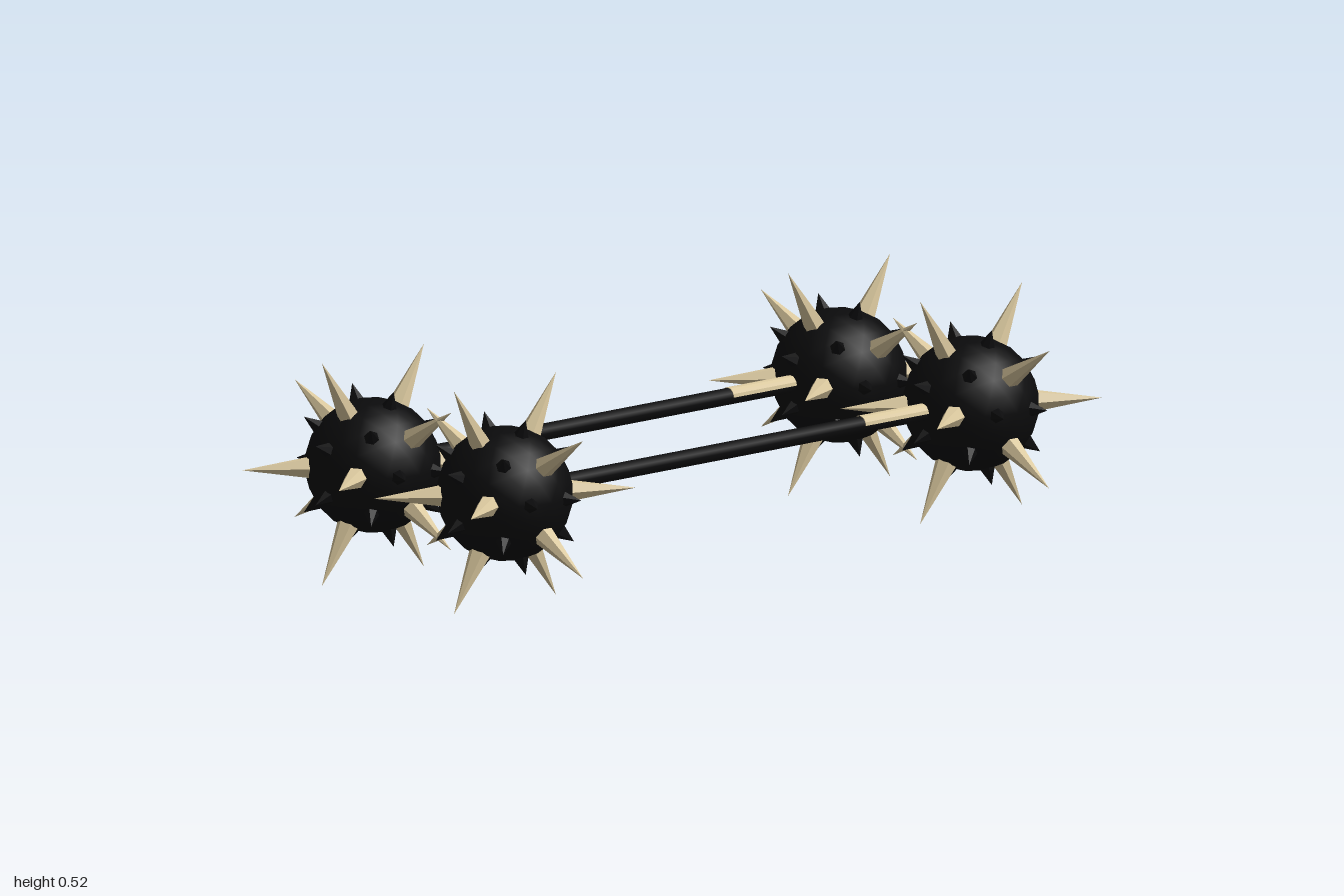
import * as THREE from 'three';

const PHI = (1 + Math.sqrt(5)) / 2;
const SIGNS = [-1, 1];

const mat = (name, color, opts = {}) => {
  const m = new THREE.MeshStandardMaterial({ color, ...opts });
  m.name = name;
  return m;
};

// All cyclic turns of (0, ±a, ±b)
function cyclicPoints(a, b) {
  const out = [];
  for (const s of SIGNS) for (const t of SIGNS) {
    const p = [0, a * s, b * t];
    for (let k = 0; k < 3; k++) {
      out.push(new THREE.Vector3(p[k], p[(k + 1) % 3], p[(k + 2) % 3]).normalize());
    }
  }
  return out;
}

// Directions: 12 icosahedron corners and its 20 face centres
const cornerDirs = cyclicPoints(PHI, 1);
const faceDirs = cyclicPoints(1 / PHI, PHI);
for (const x of SIGNS) for (const y of SIGNS) for (const z of SIGNS) {
  faceDirs.push(new THREE.Vector3(x, y, z).normalize());
}

// Cone standing on the ball, from radius "from" out to radius "to"
function spikeGeometry(radius, from, to, sides) {
  return new THREE.ConeGeometry(radius, to - from, sides, 1).translate(0, (from + to) / 2, 0);
}

export function createModel() {
  const model = new THREE.Group();
  model.name = 'spikedBars';

  const black = mat('black', 0x0b0b0c);
  const blackFacet = black.clone();
  blackFacet.flatShading = true;
  const bone = mat('bone', 0xdac89e, { flatShading: true });

  const ballGeo = new THREE.IcosahedronGeometry(0.157, 3);
  const longGeo = spikeGeometry(0.028, 0.138, 0.307, 6);
  const shortGeo = spikeGeometry(0.022, 0.145, 0.194, 6);
  const rodGeo = new THREE.CylinderGeometry(0.02, 0.02, 1.3, 12).rotateX(Math.PI / 2);
  // Pale upper half sleeve on the rear end of the rod
  const sleeveGeo = new THREE.CylinderGeometry(0.0212, 0.0212, 0.25, 8, 1, false, -Math.PI / 2, Math.PI)
    .rotateX(-Math.PI / 2);

  const add = (parent, geo, material, name, pos) => {
    const mesh = new THREE.Mesh(geo, material);
    mesh.name = name;
    if (pos) mesh.position.set(...pos);
    parent.add(mesh);
    return mesh;
  };

  const addSpikes = (parent, dirs, geo, material, name) => {
    const up = new THREE.Vector3(0, 1, 0);
    for (const d of dirs) {
      add(parent, geo, material, name).quaternion.setFromUnitVectors(up, d);
    }
  };

  for (const side of SIGNS) {
    const bar = new THREE.Group();
    bar.name = side > 0 ? 'leftBar' : 'rightBar';
    bar.position.set(0.22 * side, 0.265, 0);
    model.add(bar);

    add(bar, rodGeo, black, 'rod');
    add(bar, sleeveGeo, bone, 'sleeve', [0, 0, -0.51]);

    // Spiked ball at each end
    for (const end of SIGNS) {
      const head = new THREE.Group();
      head.name = end > 0 ? 'frontBall' : 'rearBall';
      head.position.z = 0.737 * end;
      bar.add(head);
      add(head, ballGeo, black, 'ball');
      addSpikes(head, cornerDirs, longGeo, bone, 'longSpike');
      addSpikes(head, faceDirs, shortGeo, blackFacet, 'shortSpike');
    }
  }
  return model;
}
